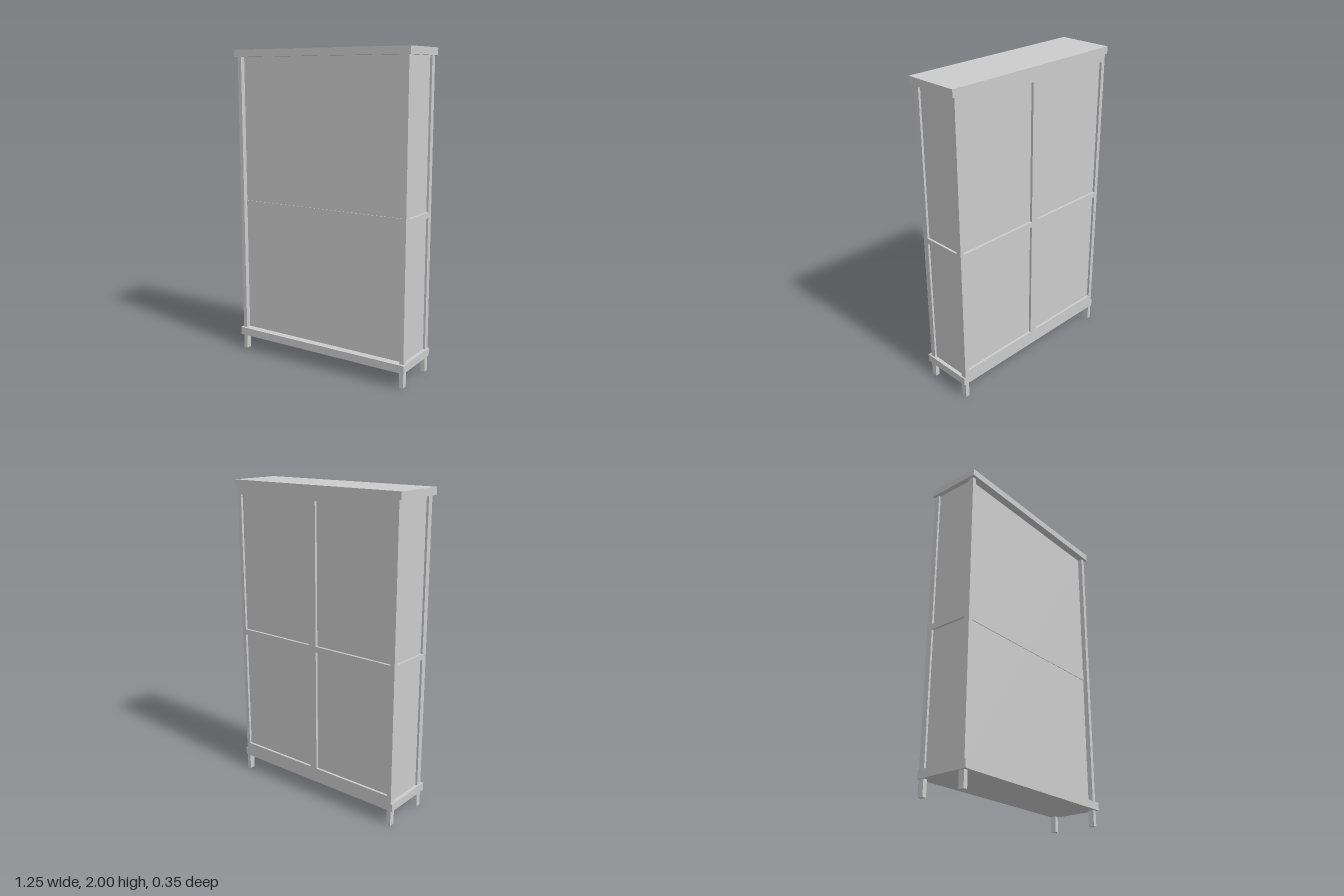
import * as THREE from 'three';

export function createModel() {
  const group = new THREE.Group();
  group.name = 'cabinet';
  const material = new THREE.MeshStandardMaterial({ color: 0xcccccc, flatShading: true });

  // Box given by its minimum and maximum corner on each axis
  function box(name, [x0, x1], [y0, y1], [z0, z1]) {
    const mesh = new THREE.Mesh(new THREE.BoxGeometry(x1 - x0, y1 - y0, z1 - z0), material);
    mesh.position.set((x0 + x1) / 2, (y0 + y1) / 2, (z0 + z1) / 2);
    mesh.name = name;
    group.add(mesh);
  }

  const bottom = 0.15, top = 1.955;
  const outer = 0.611, inner = 0.584;
  const front = [0.122, 0.159], back = [-0.172, -0.135];
  const middle = [0.99, 1.026];

  // Top and base slabs
  box('topSlab', [-0.627, 0.627], [top, 2], [-0.177, 0.177]);
  box('baseSlab', [-0.621, 0.621], [0.1, bottom], [-0.172, 0.177]);

  // Recessed panels enclosing the body
  box('frontPanel', [-inner, inner], [bottom, top], [0.115, 0.127]);
  box('backPanel', [-inner, inner], [bottom, top], [-0.156, -0.144]);

  for (const side of [-1, 1]) {
    const label = side > 0 ? 'left' : 'right';
    const span = (a, b) => side > 0 ? [a, b] : [-b, -a];
    // Corner posts run down past the base as feet
    box(label + 'FrontPost', span(inner, outer), [0, top], front);
    box(label + 'BackPost', span(inner, outer), [0, top], back);
    // Side panel and the rail across it
    box(label + 'SidePanel', span(0.585, 0.597), [bottom, top], [back[1], front[0]]);
    box(label + 'SideRail', span(inner, outer), middle, [back[1], front[0]]);
  }

  // Front middle rail, set back from the posts
  box('frontRail', [-inner, inner], middle, [0.115, 0.131]);

  // Back frame: three rails and a centre stile
  const rails = { backBottomRail: [bottom, 0.195], backMiddleRail: middle, backTopRail: [1.91, top] };
  for (const [name, y] of Object.entries(rails)) box(name, [-inner, inner], y, [-0.172, -0.15]);
  for (const y of [[0.195, middle[0]], [middle[1], 1.91]]) {
    box('backStile', [-0.026, 0.026], y, [-0.172, -0.15]);
  }

  return group;
}
